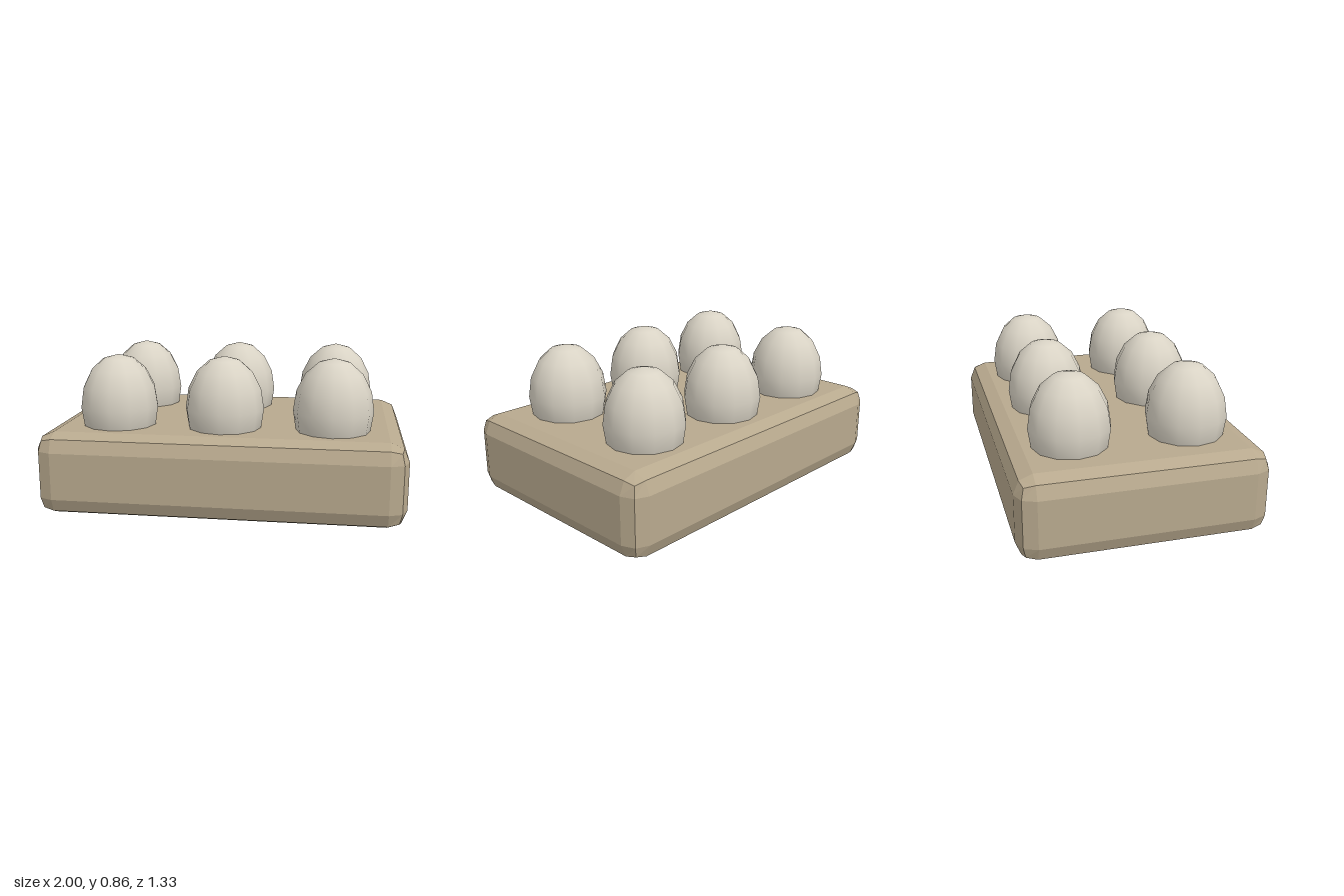
import * as THREE from 'three';
import { RoundedBoxGeometry } from 'three/addons/geometries/RoundedBoxGeometry.js';

export function createModel() {
  const model = new THREE.Group();
  model.name = 'eggTray';

  const cardboard = new THREE.MeshStandardMaterial({ color: 0xb8a98e });
  cardboard.name = 'cardboard';
  const shell = new THREE.MeshStandardMaterial({ color: 0xd9d3c5 });
  shell.name = 'eggshell';

  // Tray: chamfered block with flat facets
  const rounded = new RoundedBoxGeometry(2, 0.46, 1.333, 1, 0.1);
  const trayGeometry = rounded.index ? rounded.toNonIndexed() : rounded;
  trayGeometry.computeVertexNormals();
  const tray = new THREE.Mesh(trayGeometry, cardboard);
  tray.name = 'tray';
  tray.position.y = 0.23;
  model.add(tray);

  // Eggs: two rows of three, sunk into the tray
  const eggGeometry = new THREE.SphereGeometry(0.22, 12, 8);
  eggGeometry.scale(1, 1.32, 1);
  const eggs = new THREE.Group();
  eggs.name = 'eggs';
  for (const z of [-0.317, 0.317]) {
    for (const x of [-0.6, 0, 0.6]) {
      const egg = new THREE.Mesh(eggGeometry, shell);
      egg.name = 'egg';
      egg.position.set(x, 0.565, z);
      eggs.add(egg);
    }
  }
  model.add(eggs);

  return model;
}
